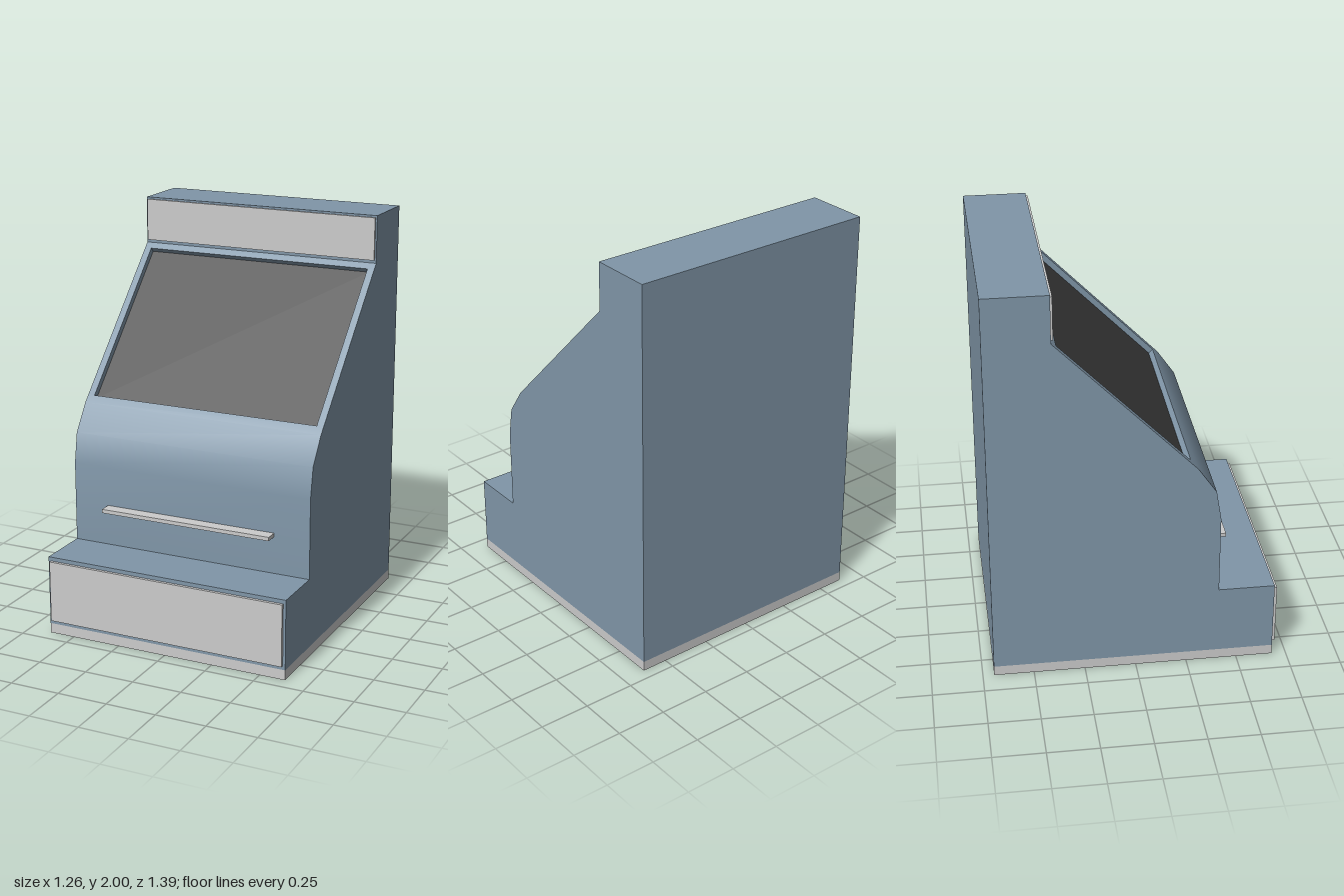
import * as THREE from 'three';
import { mergeGeometries, toCreasedNormals } from 'three/addons/utils/BufferGeometryUtils.js';

const W = 0.63;        // half width of the cabinet
const SCREEN_W = 0.595; // half width of the screen opening
const DEPTH = 0.029;   // how far the screen is sunk

// Side outline as [z, y], running up the front, over the top and down the back
const FOLD = [0.29, 1.08], SLOPE_TOP = [-0.385, 1.765];
const lower = [[0.68, 0.05], [0.68, 0.4], [0.405, 0.4], [0.405, 0.8], [0.38, 0.95], FOLD];
const upper = [SLOPE_TOP, [-0.385, 2], [-0.695, 2], [-0.695, 0.05]];

const at = (x, [z, y]) => [x, y, z];

function quad(a, b, c, d) {
  const g = new THREE.BufferGeometry();
  g.setAttribute('position', new THREE.Float32BufferAttribute([a, b, c, a, c, d].flat(), 3));
  return g;
}

// Quads spanning x0..x1 along a side path
function strip(path, x0, x1) {
  return path.slice(1).map((q, i) =>
    quad(at(x0, path[i]), at(x1, path[i]), at(x1, q), at(x0, q)));
}

// Flat side wall; side is -1 or 1
function sideWall(side) {
  const shape = new THREE.Shape([...lower, ...upper].map(([z, y]) => new THREE.Vector2(-side * z, y)));
  const g = new THREE.ShapeGeometry(shape).rotateY(side * Math.PI / 2).translate(side * W, 0, 0).toNonIndexed();
  g.deleteAttribute('uv');
  g.deleteAttribute('normal');
  return g;
}

export function createModel() {
  const model = new THREE.Group();
  model.name = 'arcadeCabinet';
  const grey = new THREE.MeshStandardMaterial({ color: 0xcccccc });
  const blue = new THREE.MeshStandardMaterial({ color: 0x8096a8 });
  const dark = new THREE.MeshStandardMaterial({ color: 0x3c3c3c });

  const add = (name, geometry, material) => {
    const mesh = new THREE.Mesh(geometry, material);
    mesh.name = name;
    model.add(mesh);
  };
  const addBox = (name, halfWidth, [y0, y1], [z0, z1]) => add(name,
    new THREE.BoxGeometry(2 * halfWidth, y1 - y0, z1 - z0).translate(0, (y0 + y1) / 2, (z0 + z1) / 2), grey);

  // Corners of the screen opening on the slope, and of the sunken screen
  const onSlope = t => FOLD.map((v, i) => v + (SLOPE_TOP[i] - v) * t);
  const dz = SLOPE_TOP[0] - FOLD[0], dy = SLOPE_TOP[1] - FOLD[1], len = Math.hypot(dz, dy);
  const sink = ([z, y]) => [z - DEPTH * dy / len, y + DEPTH * dz / len];
  const outBottom = onSlope(0.047), outTop = onSlope(0.963);
  const inBottom = sink(outBottom), inTop = sink(outTop);

  // Cabinet shell with a framed opening in the slope
  const parts = [
    ...strip([...lower, outBottom], -W, W),
    ...strip([outTop, ...upper], -W, W),
    ...strip([outBottom, outTop], -W, -SCREEN_W),
    ...strip([outBottom, outTop], SCREEN_W, W),
    ...strip([outBottom, inBottom], -SCREEN_W, SCREEN_W),
    ...strip([inTop, outTop], -SCREEN_W, SCREEN_W),
  ];
  for (const side of [-1, 1]) {
    const rim = [inBottom, inTop, outTop, outBottom].map(p => at(side * SCREEN_W, p));
    if (side > 0) rim.reverse();
    parts.push(quad(...rim), sideWall(side));
  }
  add('cabinet', toCreasedNormals(mergeGeometries(parts), 0.7), blue);

  // Sunken screen
  const screen = strip([inBottom, inTop], -SCREEN_W, SCREEN_W)[0];
  screen.computeVertexNormals();
  add('screen', screen, dark);

  // Plinth and raised panels
  addBox('base', W, [0, 0.05], [-0.695, 0.68]);
  addBox('frontPanel', 0.617, [0.07, 0.38], [0.68, 0.695]);
  addBox('shelf', 0.447, [0.585, 0.604], [0.405, 0.468]);
  addBox('headerPanel', 0.622, [1.78, 1.99], [-0.385, -0.375]);

  return model;
}
